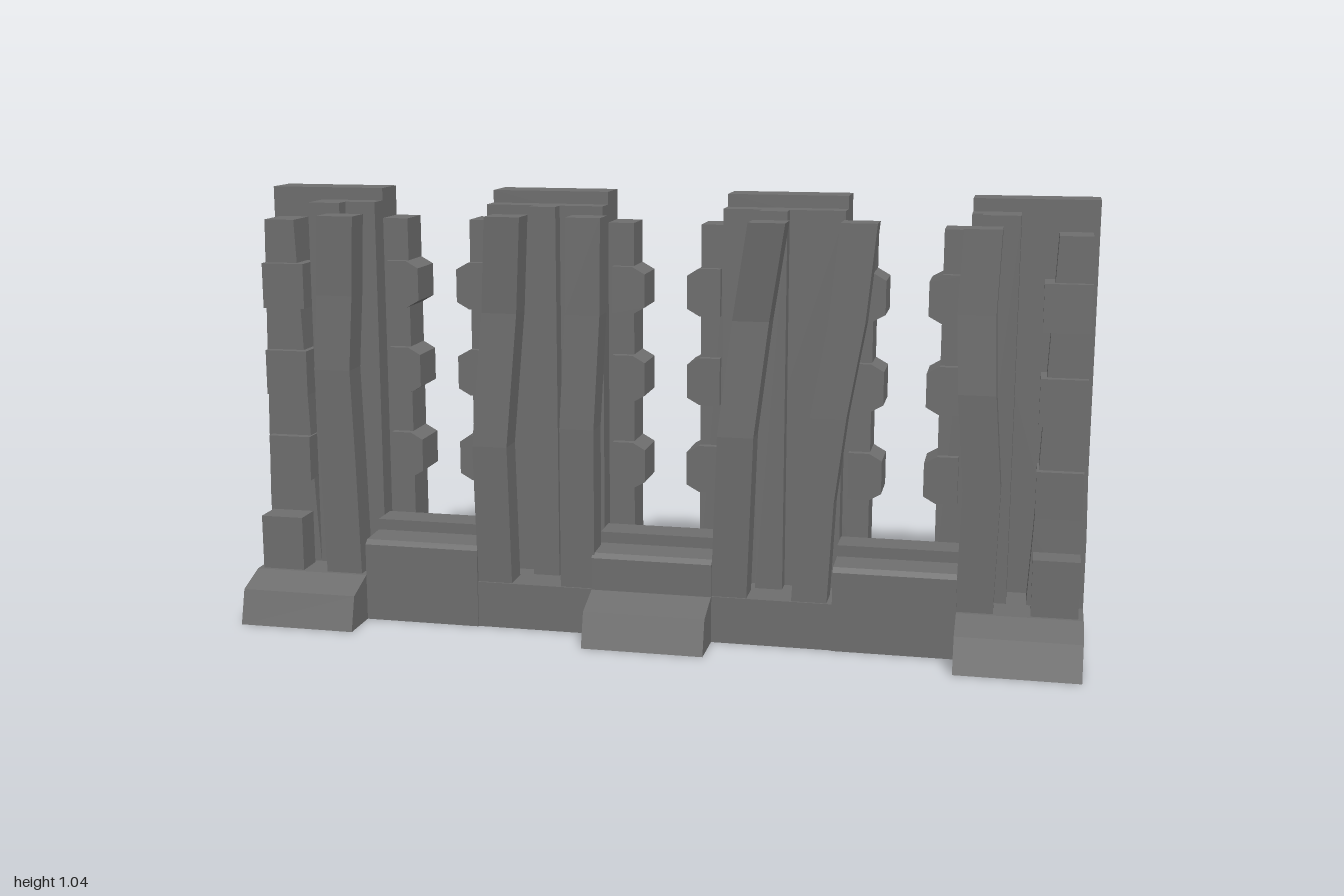
import * as THREE from 'three';

const material = new THREE.MeshStandardMaterial({ color: 0x6e6e6e, flatShading: true });

function add(parent, name, geometry) {
  const mesh = new THREE.Mesh(geometry, material);
  mesh.name = name;
  parent.add(mesh);
  return mesh;
}

// Box given by its two corners
function block(parent, name, [x0, y0, z0], [x1, y1, z1]) {
  const mesh = add(parent, name, new THREE.BoxGeometry(x1 - x0, y1 - y0, z1 - z0));
  mesh.position.set((x0 + x1) / 2, (y0 + y1) / 2, (z0 + z1) / 2);
}

// Extrude an [x, y] outline from z0 to z1
function outlineZ(parent, name, points, z0, z1) {
  const shape = new THREE.Shape(points.map(([x, y]) => new THREE.Vector2(x, y)));
  const geometry = new THREE.ExtrudeGeometry(shape, { depth: z1 - z0, bevelEnabled: false });
  geometry.translate(0, 0, z0);
  add(parent, name, geometry);
}

// Extrude a [z, y] profile along x
function profileX(parent, name, points, x0, x1) {
  const shape = new THREE.Shape(points.map(([z, y]) => new THREE.Vector2(-z, y)));
  const geometry = new THREE.ExtrudeGeometry(shape, { depth: x1 - x0, bevelEnabled: false });
  geometry.rotateY(Math.PI / 2);
  geometry.translate(x0, 0, 0);
  add(parent, name, geometry);
}

// Upright bent plank; path rows are [y, centre x, front z]
function plank(parent, path, width) {
  const rows = path.length - 1;
  const geometry = new THREE.BoxGeometry(width, 1, 0.07, 1, rows, 1);
  const p = geometry.attributes.position;
  for (let i = 0; i < p.count; i++) {
    const [y, x, z] = path[Math.round((p.getY(i) + 0.5) * rows)];
    p.setXYZ(i, x + p.getX(i), y, z + p.getZ(i) - 0.035);
  }
  add(parent, 'plank', geometry);
}

export function createModel() {
  const model = new THREE.Group();
  const back = -0.18, slabFront = -0.085, front = 0.01;
  const piers = [[-1, -0.715], [-0.43, -0.145], [0.145, 0.43], [0.715, 1]];
  const windows = [[-0.715, -0.43], [-0.145, 0.145], [0.43, 0.715]];
  const shoulder = 0.063;
  const studRows = [0.38, 0.595, 0.81];

  // Back wall: one outline with stepped pier tops and window gaps
  const outline = [[-1, 0]];
  piers.forEach(([a, b], i) => {
    if (i > 0) outline.push([a - shoulder, 0.105], [a - shoulder, 0.97], [a, 0.97]);
    outline.push([a, 1.043], [b, 1.043]);
    if (i < 3) outline.push([b, 0.97], [b + shoulder, 0.97], [b + shoulder, 0.105]);
  });
  outline.push([1, 0]);
  outlineZ(model, 'backWall', outline, back, slabFront);

  // Base with sloping feet
  block(model, 'base', [-1, 0, slabFront], [1, 0.112, 0.1]);
  const foot = [[0, 0], [0.21, 0], [0.187, 0.083], [0.105, 0.112], [0, 0.112]];
  [[-1, -0.715], [-0.145, 0.145], [0.715, 1]].forEach(([a, b]) => profileX(model, 'foot', foot, a, b));

  // Window sills, stepped at the back
  const sill = [[slabFront, 0], [0.104, 0], [0.104, 0.19], [0.09, 0.2], [front, 0.203],
    [front, 0.23], [-0.07, 0.23], [-0.07, 0.15], [slabFront, 0.145]];
  windows.forEach(([a, b]) => {
    profileX(model, 'sill', sill, a, b);
    profileX(model, 'sillSlope', [[back, 0.05], [slabFront, 0.05], [slabFront, 0.145], [back, 0.105]],
      a + shoulder, b - shoulder);
  });

  // Pier cores with a raised rib
  const cores = [[-0.87, -0.715, -0.87, -0.79], [-0.43, -0.145, -0.315, -0.25],
    [0.145, 0.43, 0.235, 0.3], [0.715, 0.825, 0.74, 0.825]];
  cores.forEach(([a, b, c, d]) => {
    block(model, 'pierCore', [a, 0.1, slabFront], [b, 1.013, -0.03]);
    block(model, 'pierRib', [c, 0.1, -0.03], [d, 1.013, front]);
  });

  // Studs wrapping the window edges, narrowing into the opening
  windows.forEach(([a, b]) => studRows.forEach((y) => {
    for (const [edge, s] of [[a + shoulder, 1], [b - shoulder, -1]]) {
      const points = [[edge - s * 0.05, y - 0.057], [edge, y - 0.057], [edge + s * 0.03, y - 0.04],
        [edge + s * 0.03, y + 0.04], [edge, y + 0.057], [edge - s * 0.05, y + 0.057]];
      outlineZ(model, 'windowStud', points, back + 0.002, -0.065);
    }
  }));

  for (const s of [-1, 1]) {
    // End posts widen toward the base
    outlineZ(model, 'endPost', [[s * 0.87, 0.1], [s, 0.1], [s, 0.28], [s * 0.985, 0.97],
      [s * 0.91, 0.97], [s * 0.88, 0.28]], slabFront, front);
    block(model, 'stubBlock', [s * 0.935 - 0.053, 0.1, 0.025], [s * 0.935 + 0.053, 0.245, 0.095]);
    studRows.forEach((y) => block(model, 'endStud',
      [s * 0.935 - 0.053, y - 0.055, -0.06], [s * 0.935 + 0.053, y + 0.055, 0.031]));

    // Skewed stud on the back, smaller at its outer end
    const geometry = new THREE.BoxGeometry(0.07, 0.105, 0.06);
    const p = geometry.attributes.position;
    for (let i = 0; i < p.count; i++) if (p.getZ(i) < 0) p.setY(i, p.getY(i) * 0.75);
    const stud = add(model, 'backStud', geometry);
    stud.position.set(s * 0.675, 0.595, -0.173);
    stud.rotation.y = s * 0.22;
  }

  // Bent planks standing in front of the piers
  plank(model, [[0.11, -0.775, 0.095], [0.4, -0.78, 0.1], [0.62, -0.785, 0.105],
    [0.8, -0.775, 0.1], [0.99, -0.765, 0.105]], 0.09);
  plank(model, [[0.11, -0.388, 0.095], [0.45, -0.392, 0.108], [0.77, -0.365, 0.1], [0.997, -0.35, 0.115]], 0.085);
  plank(model, [[0.11, -0.182, 0.095], [0.5, -0.18, 0.1], [0.77, -0.165, 0.095], [0.997, -0.162, 0.095]], 0.083);
  plank(model, [[0.11, 0.185, 0.095], [0.5, 0.2, 0.11], [0.77, 0.232, 0.102], [0.997, 0.27, 0.13]], 0.085);
  plank(model, [[0.11, 0.375, 0.095], [0.35, 0.387, 0.095], [0.55, 0.412, 0.097],
    [0.77, 0.45, 0.095], [0.997, 0.473, 0.095]], 0.083);
  plank(model, [[0.11, 0.755, 0.095], [0.4, 0.762, 0.1], [0.62, 0.745, 0.105],
    [0.8, 0.738, 0.1], [0.99, 0.745, 0.1]], 0.085);

  return model;
}
